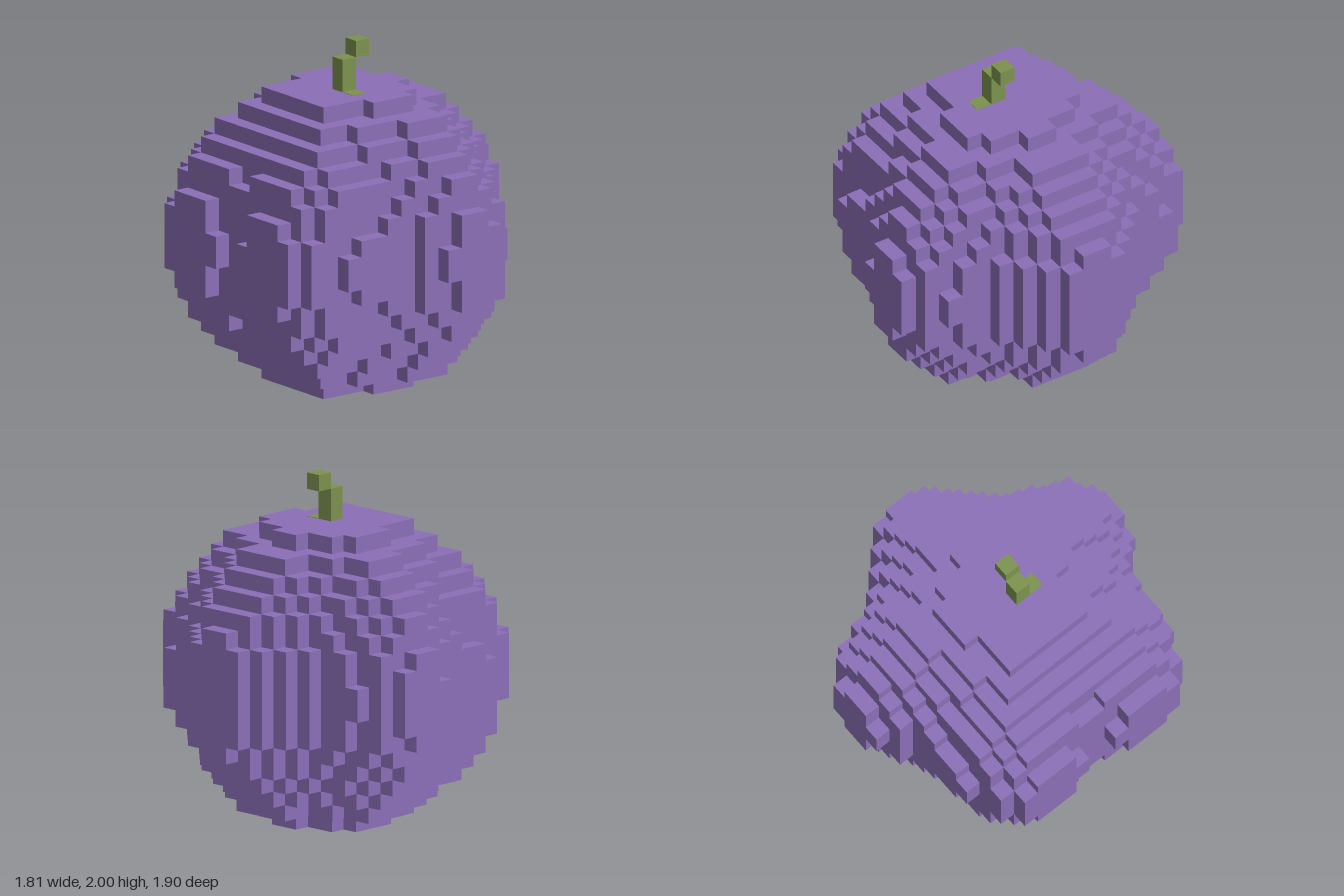
import * as THREE from 'three';

const V = 2 / 21;          // edge of one cube
const R = 9.36;            // body radius in cubes
const RIB = 1.0;           // depth of the five ribs in cubes

// Five-lobed ball, measured at cube centres
function inside(x, y, z) {
  if (Math.abs(y) >= R) return false;
  const lobe = R + RIB * Math.cos(5 * Math.atan2(z, x));
  return Math.hypot(x, z) < lobe * Math.sqrt(1 - (y / R) ** 2);
}

// Outward face directions, each with two tangents so that u x v = n
const SIDES = [0, 1, 2].flatMap(a => [1, -1].map(s => {
  const axis = i => new THREE.Vector3().setComponent(i % 3, 1);
  const n = axis(a).multiplyScalar(s);
  return { n, u: axis(a + 1), v: axis(a + 2).multiplyScalar(s) };
}));

// Stepped skin: only the cube faces that border empty space
function voxelSkin() {
  const pos = [], nor = [];
  const p = new THREE.Vector3();
  for (let x = -10.5; x <= 10.5; x++)
    for (let y = -9.5; y <= 9.5; y++)
      for (let z = -10.5; z <= 10.5; z++) {
        if (!inside(x, y, z)) continue;
        for (const { n, u, v } of SIDES) {
          if (inside(x + n.x, y + n.y, z + n.z)) continue;
          for (const [a, b] of [[-1, -1], [1, -1], [1, 1], [-1, -1], [1, 1], [-1, 1]]) {
            p.set(x - 0.5, y + 9, z).addScaledVector(n, 0.5)
              .addScaledVector(u, a / 2).addScaledVector(v, b / 2).multiplyScalar(V);
            pos.push(p.x, p.y, p.z);
            nor.push(n.x, n.y, n.z);
          }
        }
      }
  const g = new THREE.BufferGeometry();
  g.setAttribute('position', new THREE.Float32BufferAttribute(pos, 3));
  g.setAttribute('normal', new THREE.Float32BufferAttribute(nor, 3));
  return g;
}

export function createModel() {
  const group = new THREE.Group();
  const purple = new THREE.MeshStandardMaterial({ color: 0x8b6fb7 });
  purple.name = 'purple skin';
  const green = new THREE.MeshStandardMaterial({ color: 0x7c924e });
  green.name = 'green stem';

  // Ribbed round body
  const body = new THREE.Mesh(voxelSkin(), purple);
  body.name = 'body';
  group.add(body);

  // Bent stem and the small green spot at its foot
  const addBox = (name, w, h, d, x, y, z) => {
    const m = new THREE.Mesh(new THREE.BoxGeometry(w, h, d), green);
    m.name = name;
    m.position.set(x, y, z);
    group.add(m);
  };
  addBox('stemBase', V, 2 * V, V, -V, 19 * V, V / 2);
  addBox('stemTip', V, V, V, 0, 20.5 * V, V / 2);
  addBox('stemSpot', V, 0.004, V, -V, 18 * V, 1.5 * V);

  return group;
}
